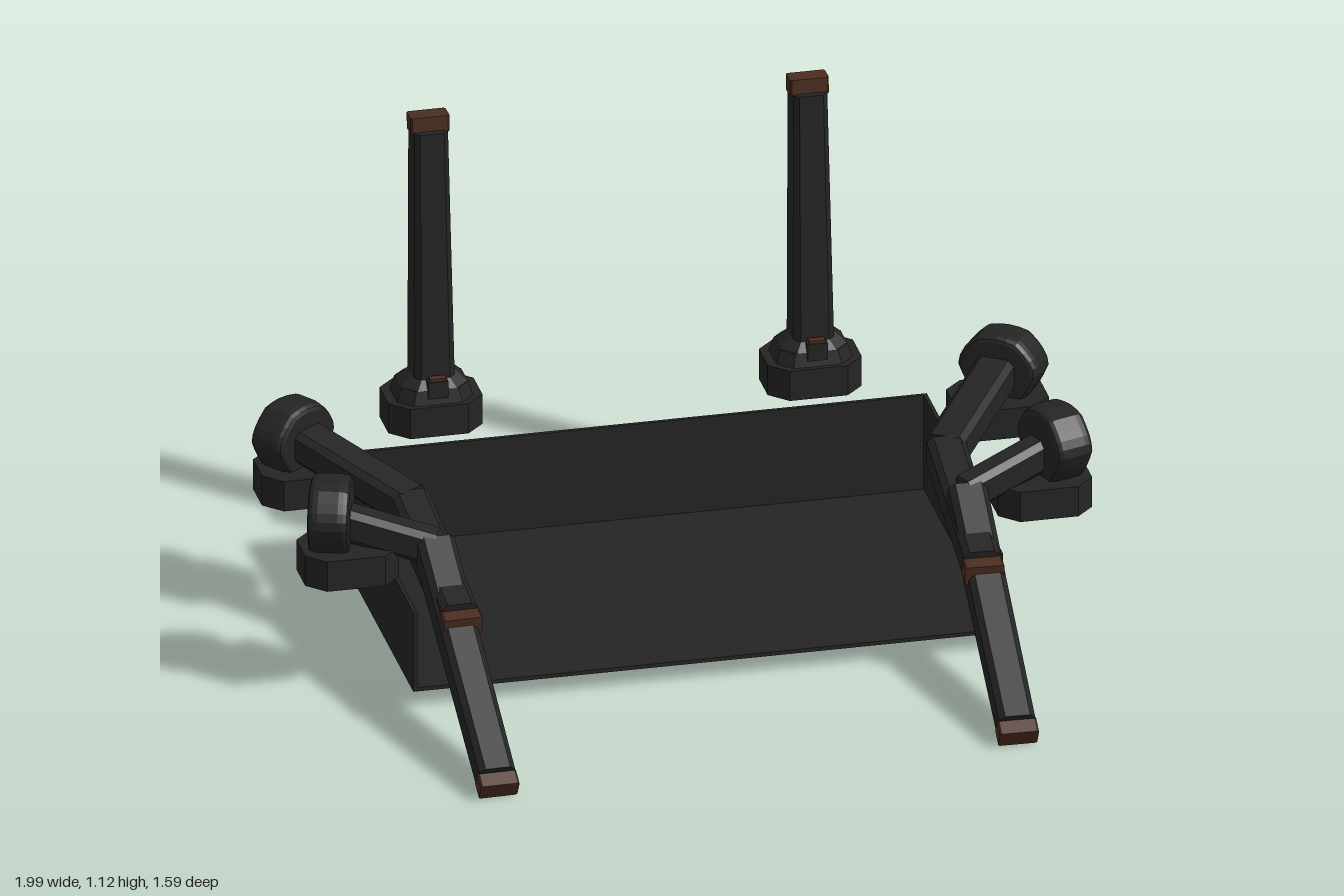
import * as THREE from 'three';

const black = new THREE.MeshStandardMaterial({ color: 0x242424 });
black.name = 'charcoal';
const brown = new THREE.MeshStandardMaterial({ color: 0x4a2d1f });
brown.name = 'brown';

const V = (x, y, z) => new THREE.Vector3(x, y, z);

function add(parent, name, geo, mat = black) {
  const m = new THREE.Mesh(geo, mat);
  m.name = name;
  parent.add(m);
  return m;
}

// rectangle with cut corners
function octagon(w, h, c) {
  const x = w / 2, y = h / 2;
  return new THREE.Shape([
    [x, -y + c], [x, y - c], [x - c, y], [-x + c, y],
    [-x, y - c], [-x, -y + c], [-x + c, -y], [x - c, -y],
  ].map(p => new THREE.Vector2(...p)));
}

// chamfered prism running along z, tapering to `taper` at its far end
function prism(w, h, c, depth, taper = 1) {
  const g = new THREE.ExtrudeGeometry(octagon(w, h, c), { depth, bevelEnabled: false });
  const p = g.attributes.position;
  for (let i = 0; i < p.count; i++) {
    const s = 1 + (taper - 1) * p.getZ(i) / depth;
    p.setXY(i, p.getX(i) * s, p.getY(i) * s);
  }
  g.computeVertexNormals();
  return g;
}

function beam(parent, name, a, b, w, h, taper = 1, mat = black, c = 0.015) {
  const m = add(parent, name, prism(w, h, c, a.distanceTo(b), taper), mat);
  m.position.copy(a);
  m.lookAt(b);
  return m;
}

// octagonal foot lying flat
function pad(parent, x, z) {
  const m = add(parent, 'pad', prism(0.235, 0.185, 0.045, 0.08));
  m.rotation.x = -Math.PI / 2;
  m.position.set(x, 0.332, z);
}

// limb from elbow to end, finished by a brown tip
function limb(parent, name, a, b, w, h, taper) {
  beam(parent, name, a, b, w, h, taper);
  const d = b.clone().sub(a).normalize();
  beam(parent, name + 'Tip', b.clone().addScaledVector(d, -0.004),
    b.clone().addScaledVector(d, 0.038), 0.097, 0.05, 1, brown, 0.004);
}

// upright rounded pod whose flat side faces the arm
function pod(parent, center, facing) {
  const s = new THREE.Shape();
  s.moveTo(-0.045, -0.075);
  s.lineTo(0.045, -0.075);
  s.quadraticCurveTo(0.075, -0.04, 0.09, 0);
  s.quadraticCurveTo(0.09, 0.03, 0.045, 0.068);
  s.quadraticCurveTo(0, 0.082, -0.045, 0.068);
  s.quadraticCurveTo(-0.09, 0.03, -0.09, 0);
  s.quadraticCurveTo(-0.075, -0.04, -0.045, -0.075);
  const g = new THREE.ExtrudeGeometry(s, {
    depth: 0.05, bevelThickness: 0.025, bevelSize: 0.015, bevelSegments: 3, curveSegments: 4,
  });
  g.translate(0, 0, -0.025);
  const m = add(parent, 'shoulderPod', g);
  m.position.copy(center);
  m.lookAt(V(facing.x, center.y, facing.z));
}

function createArm(parent, name, side, o) {
  const arm = new THREE.Group();
  arm.name = name;
  parent.add(arm);
  const at = ([x, y, z]) => V(side * x, y, z);
  const shoulder = at(o.shoulder), elbow = at(o.elbow), end = at(o.end);
  pad(arm, side * 0.866, o.padZ);
  pod(arm, at(o.pod), elbow);
  beam(arm, 'upperArm', shoulder, elbow, o.width, 0.085, 1);
  limb(arm, 'forearm', elbow, end, 0.095, 0.09, 0.95);
}

function createPost(parent, side) {
  const post = new THREE.Group();
  post.name = 'rearPost';
  parent.add(post);
  const x = side * 0.474;
  pad(post, x, -0.711);
  // stepped collar above the foot
  const collar = add(post, 'collar', prism(0.19, 0.155, 0.035, 0.035, 0.88));
  collar.rotation.x = -Math.PI / 2;
  collar.position.set(x, 0.412, -0.708);
  const crown = add(post, 'crown', prism(0.167, 0.136, 0.035, 0.028, 0.65));
  crown.rotation.x = -Math.PI / 2;
  crown.position.set(x, 0.447, -0.708);
  // small latch at the front of the collar
  const latch = add(post, 'latch', new THREE.BoxGeometry(0.05, 0.045, 0.025));
  latch.position.set(x, 0.45, -0.643);
  const plate = add(post, 'latchPlate', new THREE.BoxGeometry(0.04, 0.008, 0.02), brown);
  plate.position.set(x, 0.476, -0.643);
  limb(post, 'column', V(x, 0.42, -0.708), V(x, 1.108, -0.741), 0.102, 0.105, 0.83);
}

function createTray(parent) {
  const tray = new THREE.Group();
  tray.name = 'tray';
  parent.add(tray);
  const t = 0.01;
  add(tray, 'floor', new THREE.BoxGeometry(1.474, t, 0.82)).position.set(0, 0.072, -0.18);
  add(tray, 'backWall', new THREE.BoxGeometry(1.474, 0.263, t)).position.set(0, 0.1985, -0.585);
  // side walls step down toward the open front
  const s = new THREE.Shape([
    [-0.23, 0.067], [0.59, 0.067], [0.59, 0.33], [-0.022, 0.33], [-0.022, 0.28], [-0.23, 0.28],
  ].map(p => new THREE.Vector2(...p)));
  for (const side of [1, -1]) {
    const g = new THREE.ExtrudeGeometry(s, { depth: t, bevelEnabled: false });
    g.translate(0, 0, -t / 2);
    g.rotateY(Math.PI / 2);
    add(tray, 'sideWall', g).position.x = side * 0.732;
  }
}

export function createModel() {
  const model = new THREE.Group();
  model.name = 'trayWithArms';
  createTray(model);
  for (const side of [1, -1]) {
    createPost(model, side);
    createArm(model, 'rearArm', side, {
      padZ: -0.385, pod: [0.888, 0.477, -0.415], shoulder: [0.87, 0.472, -0.395],
      elbow: [0.67, 0.412, -0.1], end: [0.653, 0.318, 0.362], width: 0.1,
    });
    createArm(model, 'frontArm', side, {
      padZ: 0.08, pod: [0.905, 0.492, 0.065], shoulder: [0.88, 0.47, 0.065],
      elbow: [0.665, 0.412, 0.145], end: [0.65, 0.064, 0.742], width: 0.075,
    });
  }
  return model;
}
